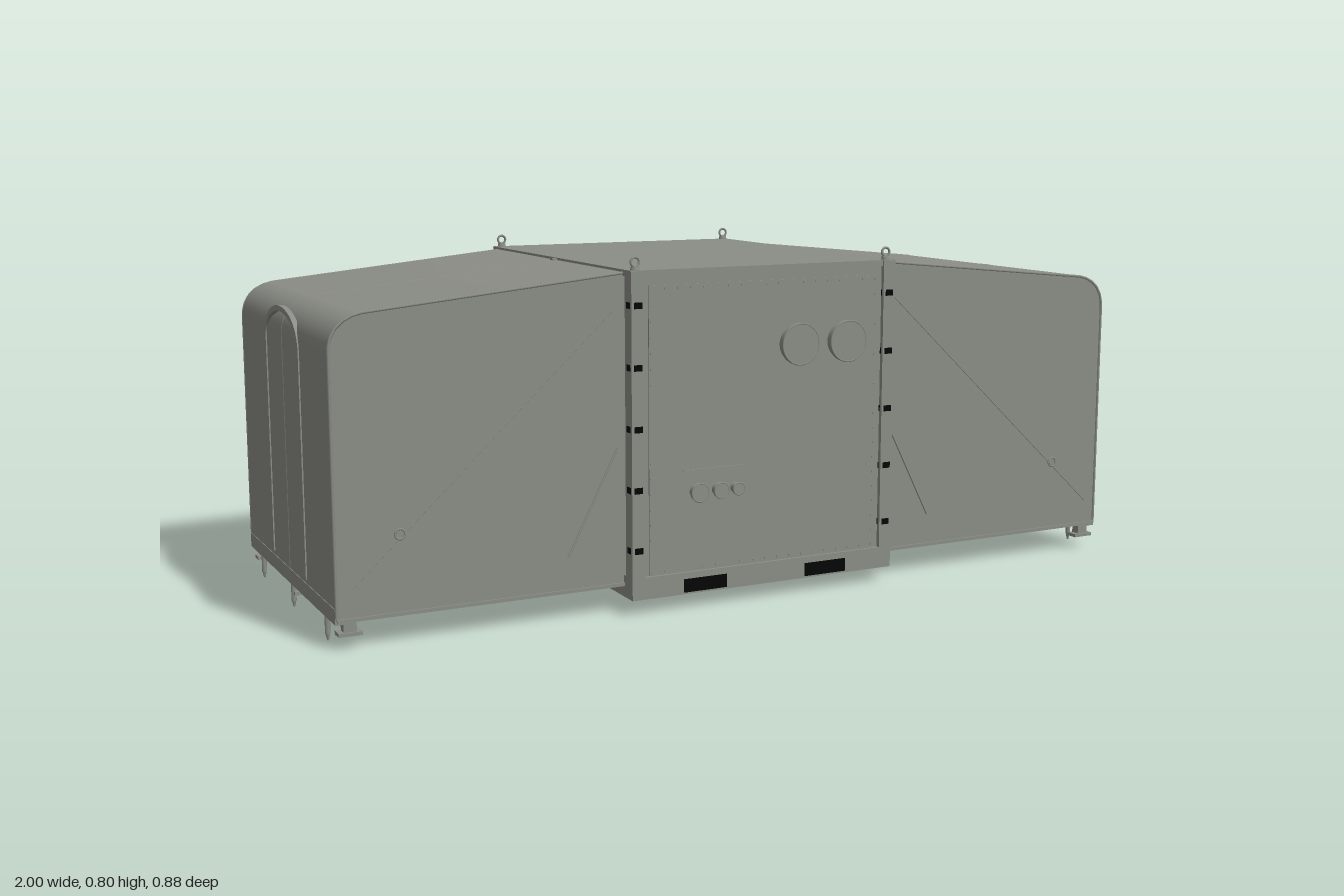
import * as THREE from 'three';
import { toCreasedNormals } from 'three/addons/utils/BufferGeometryUtils.js';

const mat = (name, color) => {
  const m = new THREE.MeshStandardMaterial({ color });
  m.name = name;
  return m;
};

export function createModel() {
  const root = new THREE.Group();
  root.name = 'expandableShelter';
  const grey = mat('shelterGrey', 0x8b8d86);
  const black = mat('openingBlack', 0x050505);

  const add = (parent, name, geo, m, x = 0, y = 0, z = 0) => {
    const mesh = new THREE.Mesh(geo, m);
    mesh.name = name;
    mesh.position.set(x, y, z);
    parent.add(mesh);
    return mesh;
  };
  // Box given by its limits on each axis
  const box = (parent, name, m, x0, x1, y0, y1, z0, z1) =>
    add(parent, name, new THREE.BoxGeometry(x1 - x0, y1 - y0, z1 - z0), m,
      (x0 + x1) / 2, (y0 + y1) / 2, (z0 + z1) / 2);
  // Round rod between two points
  const rod = (parent, name, a, b, r) => {
    const p = new THREE.Vector3(...a), q = new THREE.Vector3(...b);
    const mesh = add(parent, name, new THREE.CylinderGeometry(r, r, p.distanceTo(q), 8), grey);
    mesh.position.copy(p).add(q).multiplyScalar(0.5);
    mesh.quaternion.setFromUnitVectors(new THREE.Vector3(0, 1, 0), q.sub(p).normalize());
  };
  // Disc facing along z
  const disc = (parent, name, x, y, z, r, depth) => {
    const mesh = add(parent, name, new THREE.CylinderGeometry(r, r, depth, 32), grey, x, y, z);
    mesh.rotation.x = Math.PI / 2;
  };

  // ---- Central container ----
  const core = new THREE.Group();
  core.name = 'centralContainer';
  root.add(core);
  box(core, 'containerBody', grey, -0.333, 0.333, 0.085, 0.762, -0.41, 0.41);
  box(core, 'roofPanel', grey, -0.34, 0.34, 0.755, 0.769, -0.42, 0.415);
  box(core, 'floorPanel', grey, -0.32, 0.32, 0.055, 0.086, -0.4, 0.4);

  for (const s of [-1, 1]) {
    // Base frame with fork pockets
    box(core, 'baseBeamLong', grey, -0.34, 0.34, 0.035, 0.085, s * 0.41 - 0.01, s * 0.41 + 0.01);
    box(core, 'baseBeamShort', grey, s * 0.33 - 0.01, s * 0.33 + 0.01, 0.035, 0.085, -0.4, 0.4);
    for (const t of [-1, 1]) {
      box(core, 'forkPocket', black, t * 0.158 - 0.055, t * 0.158 + 0.055, 0.039, 0.07, s * 0.41 - 0.011, s * 0.41 + 0.011);
      box(core, 'sidePocket', black, s * 0.33 - 0.011, s * 0.33 + 0.011, 0.037, 0.07, t * 0.192 - 0.055, t * 0.192 + 0.055);
      // Corner posts with latch openings
      box(core, 'cornerPost', grey, s * 0.324 - 0.016, s * 0.324 + 0.016, 0.035, 0.768, t * 0.403 - 0.017, t * 0.403 + 0.017);
      for (let i = 0; i < 5; i++) {
        const y = 0.147 + i * 0.1365;
        box(core, 'postOpeningSide', black, s * 0.324 - 0.017, s * 0.324 + 0.017, y - 0.007, y + 0.007, t * 0.404 - 0.009, t * 0.404 + 0.009);
        box(core, 'postOpeningFace', black, s * 0.324 - 0.01, s * 0.324 + 0.01, y - 0.007, y + 0.007, t * 0.403 - 0.018, t * 0.403 + 0.018);
      }
      // Lifting eyes
      add(core, 'eyeBase', new THREE.CylinderGeometry(0.009, 0.011, 0.01, 16), grey, s * 0.323, 0.772, t * 0.403);
      add(core, 'liftingEye', new THREE.TorusGeometry(0.01, 0.0028, 8, 20), grey, s * 0.323, 0.787, t * 0.403);
    }
  }

  // ---- Front service panel ----
  const front = new THREE.Group();
  front.name = 'servicePanel';
  core.add(front);
  box(front, 'panelSheet', grey, -0.295, 0.295, 0.085, 0.735, 0.408, 0.413);
  for (const x of [0.077, 0.204]) {
    disc(front, 'ventCollar', x, 0.588, 0.42, 0.043, 0.03);
    disc(front, 'ventCap', x, 0.588, 0.432, 0.048, 0.012);
    add(front, 'ventRim', new THREE.TorusGeometry(0.047, 0.002, 6, 40), grey, x, 0.588, 0.437);
  }
  [[-0.178, 0.021], [-0.124, 0.018], [-0.08, 0.014]].forEach(([x, r]) => {
    disc(front, 'connectorBody', x, 0.268, 0.418, r * 0.8, 0.02);
    disc(front, 'connectorCap', x, 0.268, 0.43, r, 0.01);
    add(front, 'connectorRim', new THREE.TorusGeometry(r, 0.0018, 6, 24), grey, x, 0.268, 0.434);
  });
  box(front, 'connectorHood', grey, -0.21, -0.06, 0.316, 0.319, 0.41, 0.416);
  const rivetGeo = new THREE.BoxGeometry(0.004, 0.004, 0.002);
  for (let i = 0; i <= 18; i++) {
    const x = -0.288 + i * 0.032, y = 0.095 + i * 0.035;
    for (const s of [-1, 1]) {
      add(front, 'rivet', rivetGeo, grey, x, s > 0 ? 0.727 : 0.093, 0.4135);
      add(front, 'rivet', rivetGeo, grey, s * 0.29, y, 0.4135);
    }
  }

  // ---- Rear door and side hatch ----
  const rear = new THREE.Group();
  rear.name = 'rearEntrance';
  core.add(rear);
  const framed = (name, x0, x1, y0, y1, z, w) => {
    box(rear, name + 'Leaf', grey, x0, x1, y0, y1, z, -0.4);
    for (const x of [x0, x1]) box(rear, name + 'Jamb', grey, x - w / 2, x + w / 2, y0, y1, z - 0.006, -0.4);
    for (const y of [y0, y1]) box(rear, name + 'Rail', grey, x0 - w / 2, x1 + w / 2, y - w / 2, y + w / 2, z - 0.006, -0.4);
  };
  framed('door', -0.107, 0.182, 0.1, 0.71, -0.42, 0.012);
  framed('hatch', -0.25, -0.145, 0.17, 0.7, -0.414, 0.006);
  box(rear, 'handlePlate', grey, 0.147, 0.163, 0.39, 0.45, -0.425, -0.415);
  rod(rear, 'handleStem', [0.155, 0.425, -0.42], [0.155, 0.425, -0.437], 0.004);
  rod(rear, 'handleLever', [0.157, 0.425, -0.436], [0.11, 0.425, -0.436], 0.004);
  box(rear, 'hatchLatch', grey, -0.175, -0.16, 0.58, 0.63, -0.422, -0.41);
  for (const y of [0.17, 0.4, 0.633])
    box(rear, 'doorHinge', grey, -0.122, -0.106, y - 0.016, y + 0.016, -0.431, -0.41);

  // ---- Expanding wings, one on each side ----
  const zF = 0.375, zB = -0.385;
  const outline = new THREE.Shape();
  outline.moveTo(0.325, 0.064);
  outline.lineTo(0.997, 0.064);
  outline.lineTo(0.997, 0.625);
  outline.bezierCurveTo(0.997, 0.67, 0.965, 0.7, 0.92, 0.706);
  outline.lineTo(0.325, 0.765);
  outline.closePath();
  const wingGeo = toCreasedNormals(
    new THREE.ExtrudeGeometry(outline, { depth: zF - zB, bevelEnabled: false, curveSegments: 14 }), 0.5);

  // Flat hoop standing at the wing end
  const hoopShape = new THREE.Shape();
  hoopShape.moveTo(-0.15, 0.1);
  hoopShape.lineTo(-0.15, 0.6);
  hoopShape.bezierCurveTo(-0.15, 0.66, -0.07, 0.686, 0, 0.686);
  hoopShape.bezierCurveTo(0.07, 0.686, 0.15, 0.66, 0.15, 0.6);
  hoopShape.lineTo(0.15, 0.1);
  hoopShape.lineTo(0.139, 0.1);
  hoopShape.lineTo(0.139, 0.6);
  hoopShape.bezierCurveTo(0.139, 0.65, 0.065, 0.674, 0, 0.674);
  hoopShape.bezierCurveTo(-0.065, 0.674, -0.139, 0.65, -0.139, 0.6);
  hoopShape.lineTo(-0.139, 0.1);
  hoopShape.closePath();
  const hoopGeo = toCreasedNormals(
    new THREE.ExtrudeGeometry(hoopShape, { depth: 0.012, bevelEnabled: false, curveSegments: 12 }), 0.5);

  // Thin tube following the roof, rounded corner and end of a wing
  const pipingGeo = z => {
    const path = new THREE.CurvePath();
    const v = (x, y) => new THREE.Vector3(x, y, z);
    path.add(new THREE.LineCurve3(v(0.34, 0.7615), v(0.92, 0.704)));
    path.add(new THREE.CubicBezierCurve3(v(0.92, 0.704), v(0.965, 0.698), v(0.995, 0.67), v(0.995, 0.625)));
    path.add(new THREE.LineCurve3(v(0.995, 0.625), v(0.995, 0.07)));
    return new THREE.TubeGeometry(path, 60, 0.0035, 6);
  };

  const buildWing = (name, side) => {
    const wing = new THREE.Group();
    wing.name = name;
    wing.scale.x = side;
    root.add(wing);
    add(wing, 'wingShell', wingGeo, grey, 0, 0, zB);
    box(wing, 'wingFloor', grey, 0.34, 0.993, 0.058, 0.066, zB + 0.004, zF - 0.004);
    for (const z of [-0.19, -0.005, 0.18])
      box(wing, 'floorRib', grey, 0.34, 0.99, 0.0555, 0.06, z - 0.003, z + 0.003);
    box(wing, 'endSill', grey, 0.98, 0.9985, 0.056, 0.09, zB, zF);
    const hoop = add(wing, 'endHoop', hoopGeo, grey, 0.988, 0, 0);
    hoop.rotation.y = Math.PI / 2;
    add(wing, 'centreSeam', pipingGeo(0), grey);
    box(wing, 'roofBracket', grey, 0.335, 0.352, 0.7, 0.768, -0.007, 0.007);

    for (const z of [zF, zB]) {
      const out = z + Math.sign(z) * 0.001;
      add(wing, 'edgePiping', pipingGeo(z), grey);
      box(wing, 'lowerRail', grey, 0.34, 0.995, 0.06, 0.068, z - 0.004, z + 0.004);
      // Bracing cable, tie ring and strut
      rod(wing, 'braceCable', [0.36, 0.685, z], [0.965, 0.125, z], 0.0012);
      add(wing, 'tieRing', new THREE.TorusGeometry(0.011, 0.0022, 6, 18), grey, 0.855, 0.235, out);
      rod(wing, 'sideStrut', [0.355, 0.375, out], [0.475, 0.14, out], 0.0025);
    }
    // Feet and ground pins
    for (const z of [0.36, 0, -0.36]) {
      box(wing, 'footBlock', grey, 0.952, 0.98, 0.036, 0.062, z - 0.011, z + 0.011);
      box(wing, 'footPlate', grey, 0.94, 0.992, 0.029, 0.037, z - 0.015, z + 0.015);
    }
    for (const z of [0.285, 0, -0.285]) {
      rod(wing, 'groundPin', [0.991, 0.014, z], [0.991, 0.075, z], 0.006);
      add(wing, 'pinTip', new THREE.CylinderGeometry(0.005, 0.002, 0.014, 8), grey, 0.991, 0.007, z);
    }
  };
  buildWing('leftWing', 1);
  buildWing('rightWing', -1);
  return root;
}
